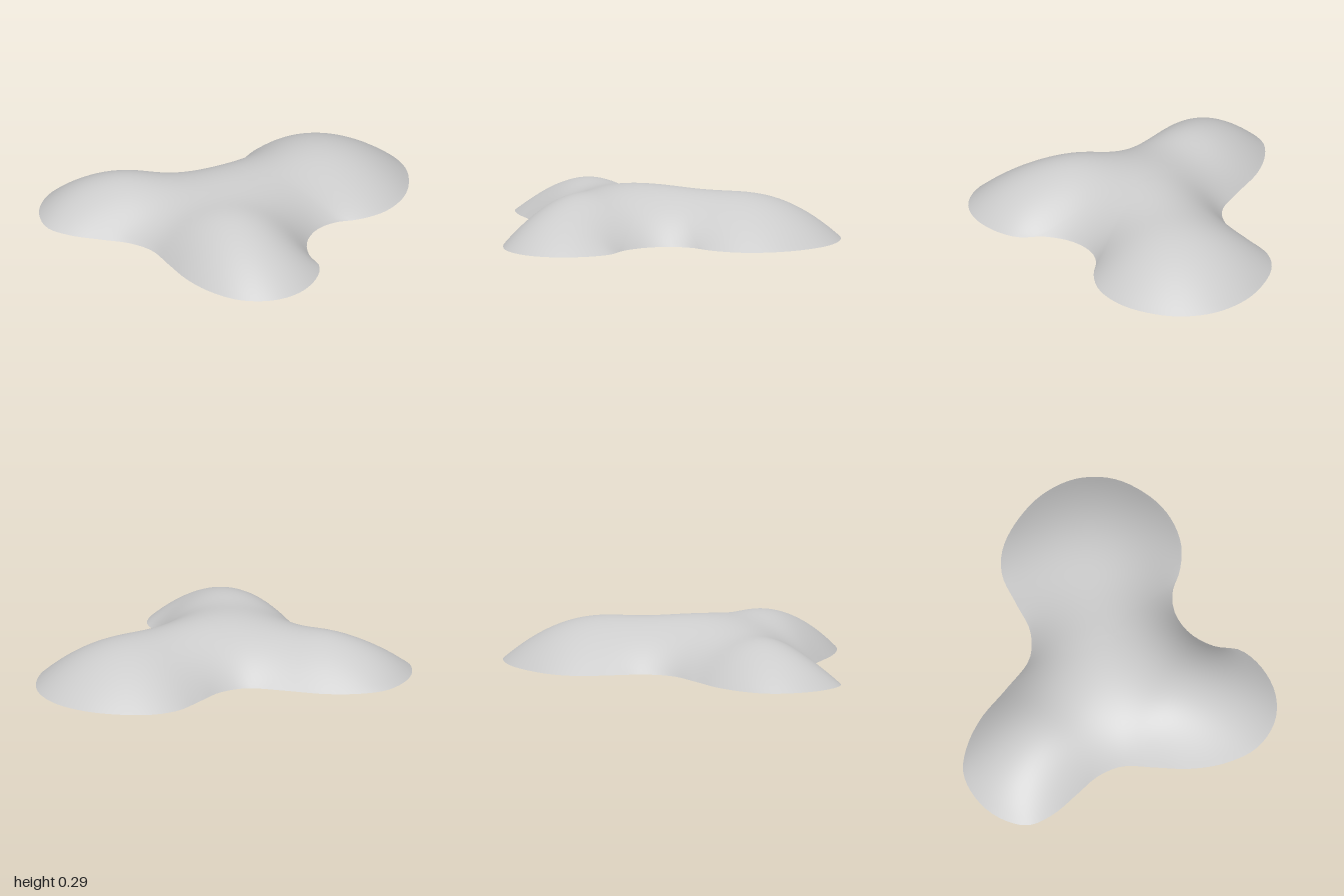
import * as THREE from 'three';

// Outline of the three-lobed footprint, as x, z
const OUTLINE = [
  [0.48, -1], [0.70, -0.955], [0.87, -0.82], [0.96, -0.63], [0.98, -0.45], [0.93, -0.27],
  [0.82, -0.14], [0.70, -0.06], [0.63, 0.05], [0.62, 0.2], [0.68, 0.35], [0.78, 0.46],
  [0.81, 0.62], [0.77, 0.8], [0.66, 0.93], [0.48, 0.99], [0.28, 0.95], [0.1, 0.85],
  [-0.05, 0.72], [-0.2, 0.59], [-0.35, 0.55], [-0.5, 0.56], [-0.7, 0.57], [-0.85, 0.53],
  [-0.95, 0.39], [-0.98, 0.22], [-0.94, 0.05], [-0.83, -0.06], [-0.65, -0.15], [-0.42, -0.2],
  [-0.2, -0.26], [-0.09, -0.39], [-0.05, -0.56], [0, -0.76], [0.1, -0.88], [0.26, -0.96],
];
// Crest heights along the lobes, as x, z, height
const CRESTS = [
  [0.15, -0.07, 0.288], [0.2, 0.2, 0.265], [0.35, 0.6, 0.22], [0.38, 0.8, 0.155],
  [-0.2, 0.12, 0.22], [-0.6, 0.2, 0.195], [-0.8, 0.22, 0.14],
  [0.25, -0.25, 0.25], [0.42, -0.45, 0.25], [0.42, -0.75, 0.18], [0.65, -0.55, 0.215],
];
const CENTRE = [0.2, 0];
const SIDES = 144, RINGS = 28;

// Flat disc of rings shrinking from the outline to the centre
function footprint() {
  const curve = new THREE.CatmullRomCurve3(
    OUTLINE.map(([x, z]) => new THREE.Vector3(x, 0, z)), true, 'centripetal');
  const rim = curve.getSpacedPoints(SIDES);
  const points = [[...CENTRE]], index = [];
  for (let r = 1; r <= RINGS; r++) {
    for (let i = 0; i < SIDES; i++) {
      const s = r / RINGS;
      points.push([CENTRE[0] + (rim[i].x - CENTRE[0]) * s, CENTRE[1] + (rim[i].z - CENTRE[1]) * s]);
    }
  }
  const at = (r, i) => (r === 0 ? 0 : 1 + (r - 1) * SIDES + (i % SIDES));
  for (let r = 0; r < RINGS; r++) {
    for (let i = 0; i < SIDES; i++) {
      if (r > 0) index.push(at(r, i), at(r, i + 1), at(r + 1, i));
      index.push(at(r, i + 1), at(r + 1, i + 1), at(r + 1, i));
    }
  }
  return { points, index };
}

// Inflate the footprint like a membrane pinned at its rim
function inflate(points, index) {
  const links = points.map(() => new Map());
  const load = points.map(() => 0);
  const link = (a, b, w) => {
    links[a].set(b, (links[a].get(b) || 0) + w);
    links[b].set(a, (links[b].get(a) || 0) + w);
  };
  for (let t = 0; t < index.length; t += 3) {
    for (let k = 0; k < 3; k++) {
      const [a, b, c] = [0, 1, 2].map((j) => index[t + ((k + j) % 3)]);
      const [ux, uz] = [points[a][0] - points[c][0], points[a][1] - points[c][1]];
      const [vx, vz] = [points[b][0] - points[c][0], points[b][1] - points[c][1]];
      const twiceArea = Math.abs(ux * vz - uz * vx);
      link(a, b, (ux * vx + uz * vz) / twiceArea / 2);
      load[c] += twiceArea / 6;
    }
  }
  const u = new Float64Array(points.length);
  const free = points.length - SIDES;
  const rows = links.slice(0, free).map((m) => {
    const entries = [...m];
    return { entries, total: entries.reduce((sum, e) => sum + e[1], 0) };
  });
  for (let pass = 0; pass < 1200; pass++) {
    for (let i = 0; i < free; i++) {
      let sum = load[i];
      for (const [j, w] of rows[i].entries) sum += w * u[j];
      u[i] += 1.85 * (sum / rows[i].total - u[i]);
    }
  }
  return u;
}

export function createModel() {
  const { points, index } = footprint();
  const u = inflate(points, index);

  // Scale the membrane smoothly so it passes near the crest heights
  const gains = CRESTS.map(([x, z, height]) => {
    let best = 0, nearest = Infinity;
    points.forEach((p, i) => {
      const d = Math.hypot(p[0] - x, p[1] - z);
      if (d < nearest) { nearest = d; best = i; }
    });
    return height / u[best];
  });
  const positions = [];
  points.forEach(([x, z], i) => {
    let sum = 0, total = 0;
    CRESTS.forEach(([cx, cz], k) => {
      const w = Math.exp(-((x - cx) ** 2 + (z - cz) ** 2) / 0.07);
      sum += w * gains[k];
      total += w;
    });
    positions.push(x, u[i] * sum / total, z);
  });

  const geometry = new THREE.BufferGeometry();
  geometry.setAttribute('position', new THREE.Float32BufferAttribute(positions, 3));
  geometry.setIndex(index);
  geometry.computeVertexNormals();

  // Thin open shell
  const shell = new THREE.Mesh(geometry,
    new THREE.MeshStandardMaterial({ color: 0xcccccc, side: THREE.DoubleSide }));
  shell.name = 'lobedShell';
  const group = new THREE.Group();
  group.name = 'lobedCanopy';
  group.add(shell);
  return group;
}
